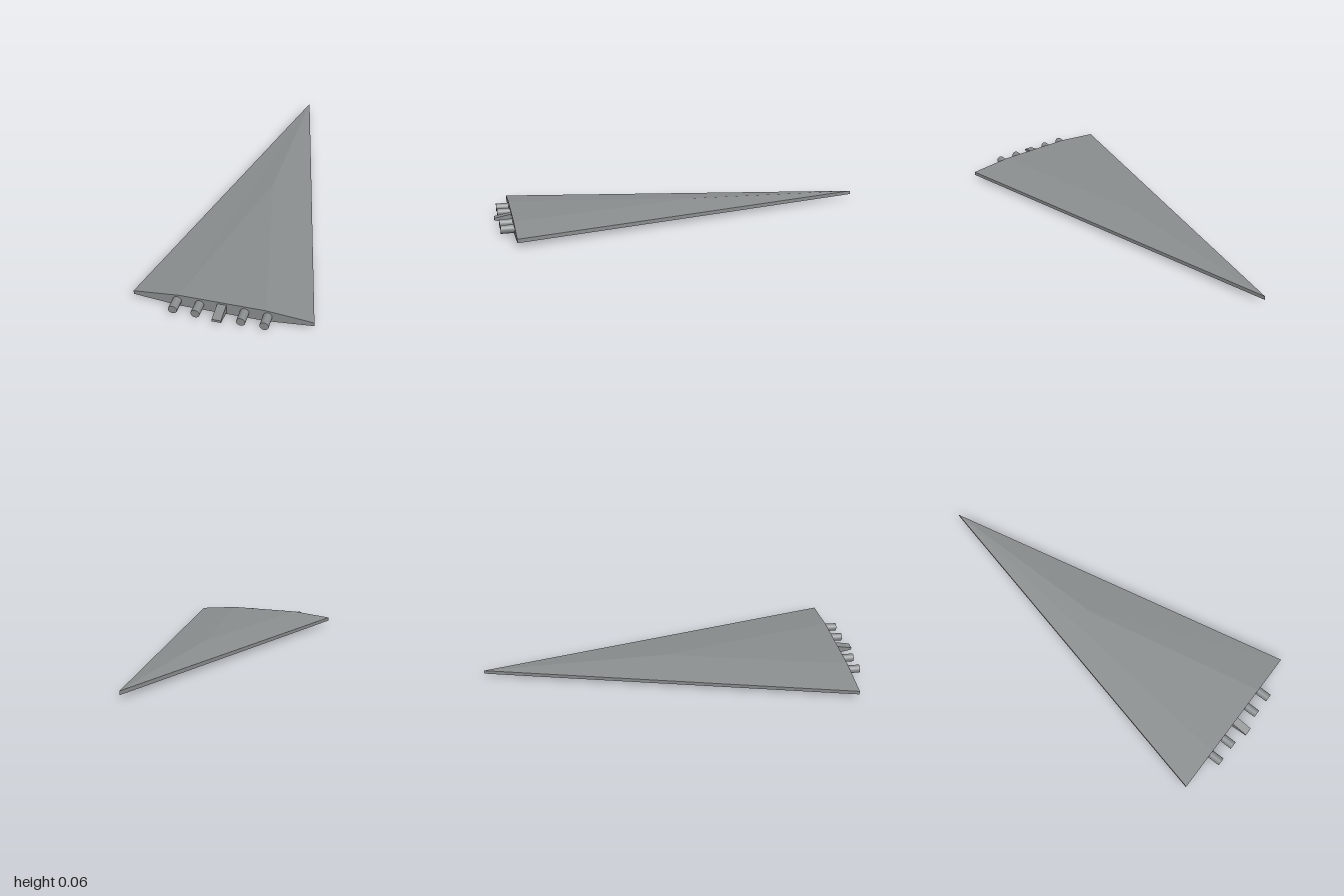
import * as THREE from 'three';

const REAR = 0.915;  // z of the flat end that carries the nozzles
const MID = 0.0315;  // mid height of the hull

function hullGrey(extra = {}) {
  return new THREE.MeshStandardMaterial({ color: 0x8b8f90, ...extra });
}

// Stack of triangular outlines, from the bottom plateau to the top plateau
function hullGeometry() {
  const layers = [
    // half width, tip z, y
    [0.205, -0.04, 0],
    [0.425, -1, MID - 0.0095],
    [0.425, -1, MID + 0.0095],
    [0.205, -0.04, 2 * MID],
  ];
  const positions = [];
  const index = [];
  layers.forEach(([w, tip, y]) => positions.push(-w, y, REAR, w, y, REAR, 0, y, tip));
  for (let k = 0; k < layers.length - 1; k++) {
    for (let i = 0; i < 3; i++) {
      const a = k * 3 + i, b = k * 3 + (i + 1) % 3;
      index.push(a, b, b + 3, a, b + 3, a + 3);
    }
  }
  const top = (layers.length - 1) * 3;
  index.push(0, 2, 1, top, top + 1, top + 2);
  const indexed = new THREE.BufferGeometry();
  indexed.setAttribute('position', new THREE.Float32BufferAttribute(positions, 3));
  indexed.setIndex(index);
  const geometry = indexed.toNonIndexed();
  geometry.computeVertexNormals();
  return geometry;
}

// Box whose outer end is squeezed to a blunt edge
function wedgeGeometry(width, height, length, endHeight) {
  const geometry = new THREE.BoxGeometry(width, height, length).toNonIndexed();
  const p = geometry.attributes.position;
  for (let i = 0; i < p.count; i++) {
    if (p.getZ(i) > 0) p.setY(i, Math.sign(p.getY(i)) * endHeight / 2);
  }
  geometry.computeVertexNormals();
  return geometry;
}

export function createModel() {
  const model = new THREE.Group();

  const hull = new THREE.Mesh(hullGeometry(), hullGrey({ flatShading: true }));
  hull.name = 'hull';
  model.add(hull);

  // Four round nozzles, two on each side
  const nozzles = new THREE.Group();
  nozzles.name = 'nozzles';
  const nozzleGeometry = new THREE.CylinderGeometry(0.021, 0.021, 0.065, 32).rotateX(Math.PI / 2);
  for (const x of [-0.213, -0.106, 0.106, 0.213]) {
    const nozzle = new THREE.Mesh(nozzleGeometry, hullGrey());
    nozzle.name = 'nozzle';
    nozzle.position.set(x, MID, REAR + 0.0325);
    nozzles.add(nozzle);
  }
  model.add(nozzles);

  // Tapered central exhaust
  const exhaust = new THREE.Mesh(wedgeGeometry(0.043, 0.043, 1 - REAR, 0.012), hullGrey({ flatShading: true }));
  exhaust.name = 'centralExhaust';
  exhaust.position.set(0, MID, (1 + REAR) / 2);
  model.add(exhaust);

  return model;
}
